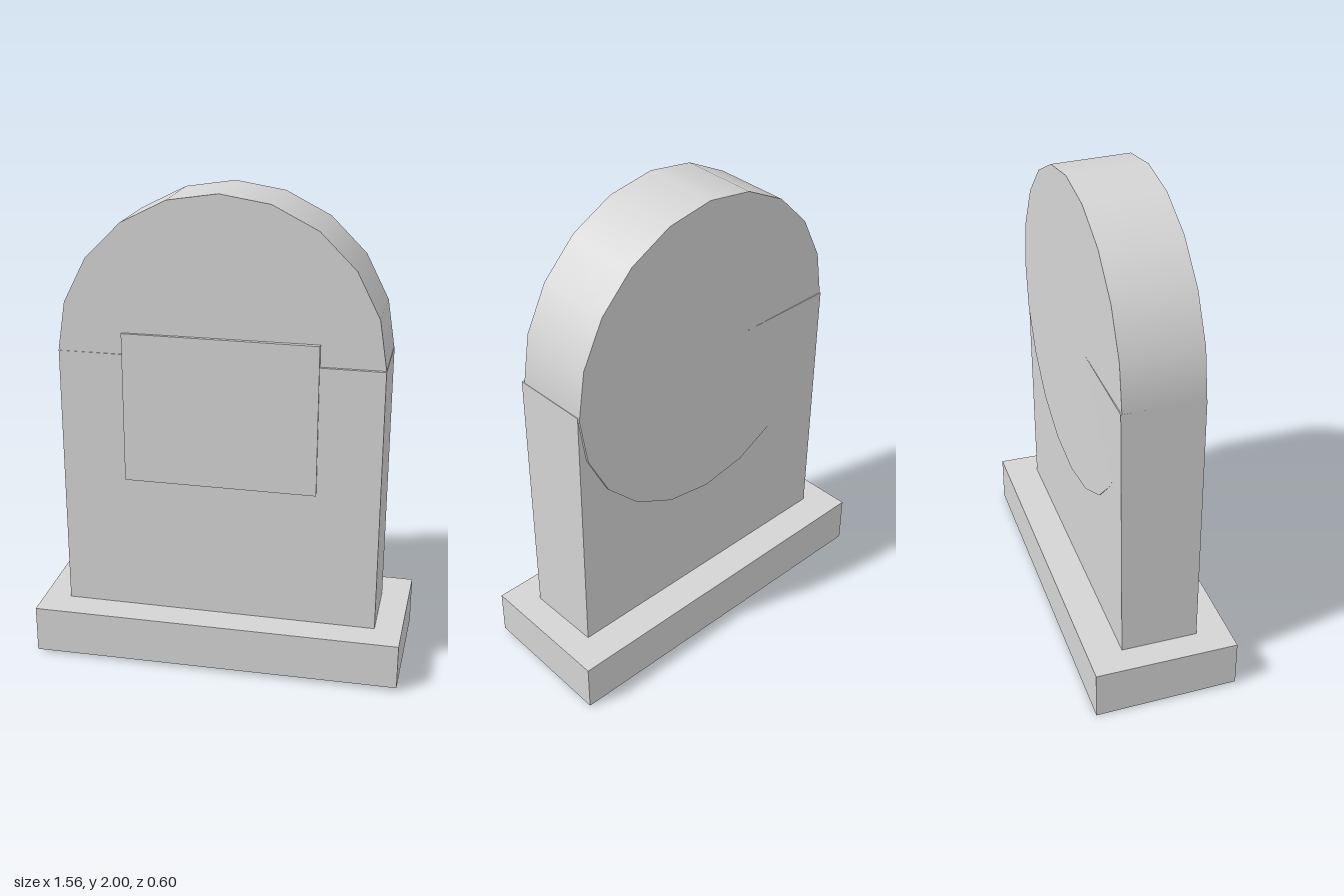
import * as THREE from 'three';

// Moves every vertex of a geometry by a rule, optionally refreshing its normals.
function warp(geometry, rule, recompute = true) {
  const p = geometry.attributes.position;
  const v = new THREE.Vector3();
  for (let i = 0; i < p.count; i++) {
    v.fromBufferAttribute(p, i);
    rule(v);
    p.setXYZ(i, v.x, v.y, v.z);
  }
  if (recompute) geometry.computeVertexNormals();
  return geometry;
}

export function createModel() {
  const group = new THREE.Group();
  const stone = new THREE.MeshStandardMaterial({ color: 0xd4d4d4 });
  stone.name = 'light grey stone';

  function add(name, geometry) {
    const mesh = new THREE.Mesh(geometry, stone);
    mesh.name = name;
    group.add(mesh);
  }

  // Plinth, slightly uneven underneath and at its front right corner
  const plinth = new THREE.BoxGeometry(1.56, 0.21, 0.6).translate(0, 0.105, 0);
  add('plinth', warp(plinth, (v) => {
    if (v.y < 0.1) v.y = 0.008 + 0.003 * Math.sign(v.x) + 0.005 * Math.sign(v.z);
    if (v.x > 0 && v.z > 0) { v.x -= 0.008; v.z -= 0.008; }
  }));

  // Upright slab, its back leaning out a little towards the top
  const slab = new THREE.BoxGeometry(1.326, 1.14, 0.326).translate(-0.003, 0.77, 0.002);
  add('slab', warp(slab, (v) => {
    if (v.z < 0) v.z = v.y < 0.5 ? -0.156 : -0.167;
  }));

  // Rounded head: a 20-sided disc turned slightly against the slab
  const head = new THREE.CylinderGeometry(0.663, 0.663, 0.326, 20).rotateX(Math.PI / 2);
  add('roundedHead', warp(head, (v) => {
    v.y += 1.335 + 0.025 * v.z;
    v.z -= 0.006 + 0.01 * v.x;
    v.x -= 0.004;
  }, false));

  // Thin raised plaque on the front
  add('plaque', new THREE.BoxGeometry(0.8, 0.635, 0.03).translate(0, 1.1125, 0.158));

  return group;
}
